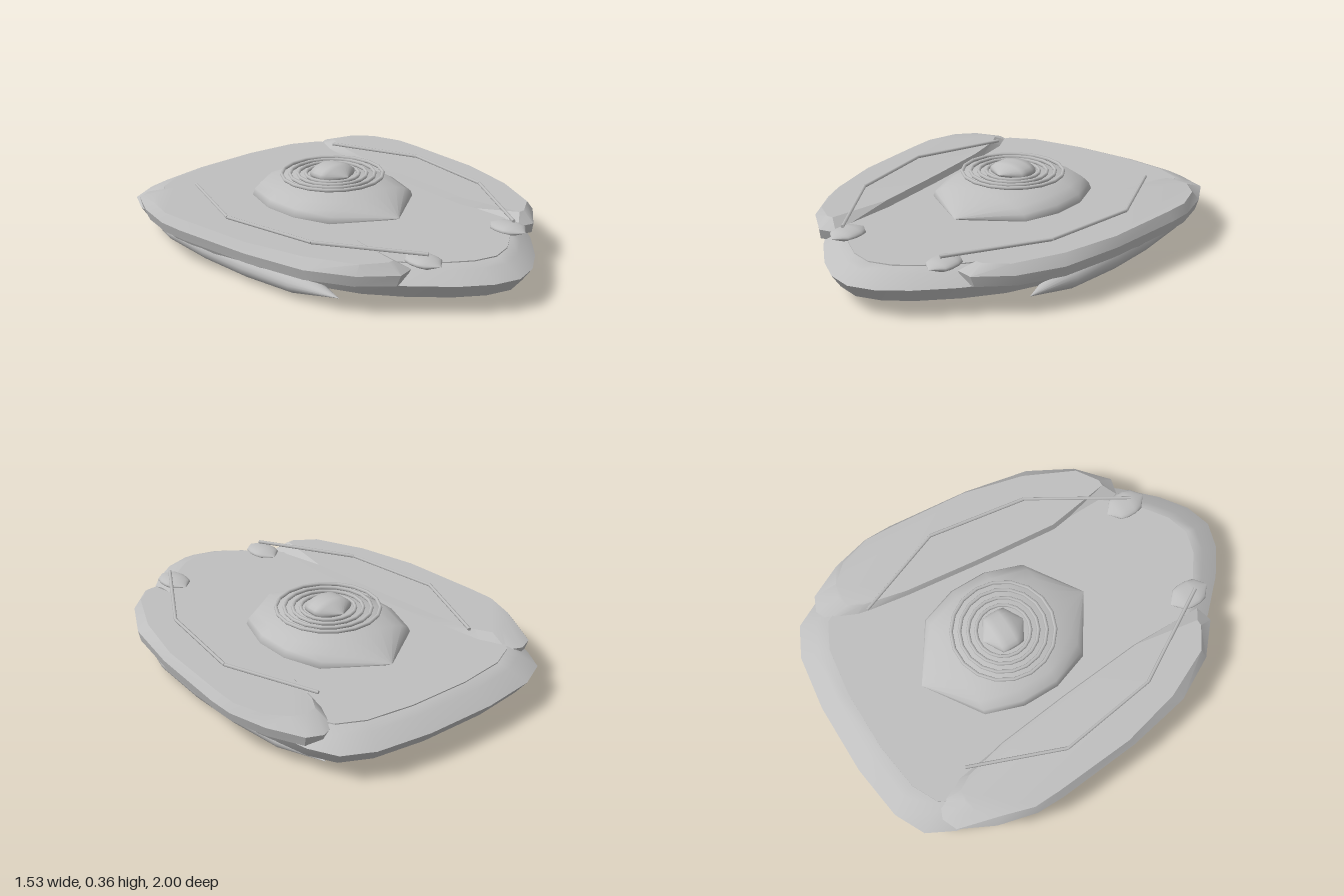
import * as THREE from 'three';
import { toCreasedNormals } from 'three/addons/utils/BufferGeometryUtils.js';

const shell = new THREE.MeshStandardMaterial({ color: 0xbfbfbf });
shell.name = 'grey shell';

function part(name, geometry, parent) {
  const mesh = new THREE.Mesh(geometry, shell);
  mesh.name = name;
  parent.add(mesh);
  return mesh;
}

// Closed solid through rings of [x, y, z], listed bottom to top, counter-clockwise from above
function loft(rings, crease = 0.5) {
  const n = rings[0].length, pos = [];
  const tri = (a, b, c) => pos.push(...a, ...b, ...c);
  for (let r = 0; r < rings.length - 1; r++) {
    const lo = rings[r], hi = rings[r + 1];
    for (let i = 0; i < n; i++) {
      const j = (i + 1) % n;
      tri(lo[i], lo[j], hi[j]);
      tri(lo[i], hi[j], hi[i]);
    }
  }
  const cap = (ring, up) => {
    const flat = ring.map(p => new THREE.Vector2(p[0], -p[2]));
    for (const [a, b, c] of THREE.ShapeUtils.triangulateShape(flat, [])) {
      if (up) tri(ring[a], ring[b], ring[c]);
      else tri(ring[a], ring[c], ring[b]);
    }
  };
  cap(rings[0], false);
  cap(rings[rings.length - 1], true);
  const g = new THREE.BufferGeometry();
  g.setAttribute('position', new THREE.Float32BufferAttribute(pos, 3));
  return toCreasedNormals(g, crease);
}

// Faceted ellipsoid with its poles along z
function pebble(rx, ry, rz, shoulder) {
  const [r, h] = shoulder;
  const profile = [[0, -1], [r, -h], [0.98, -0.2], [0.98, 0.2], [r, h], [0, 1]];
  const g = new THREE.LatheGeometry(profile.map(p => new THREE.Vector2(...p)), 20);
  return g.rotateX(Math.PI / 2).scale(rx, ry, rz);
}

// Straight rod between two points
function rod(a, b, radius) {
  const d = b.clone().sub(a);
  const g = new THREE.CylinderGeometry(radius, radius, d.length(), 6);
  g.applyQuaternion(new THREE.Quaternion().setFromUnitVectors(new THREE.Vector3(0, 1, 0), d.clone().normalize()));
  const m = a.clone().add(b).multiplyScalar(0.5);
  return g.translate(m.x, m.y, m.z);
}

export function createModel() {
  const group = new THREE.Group();
  group.name = 'hoverCraft';

  // Hull: one half of the rim outline, front to back, mirrored
  const half = [[0.12, 0.965], [0.24, 0.88], [0.38, 0.74], [0.5, 0.58], [0.6, 0.36], [0.66, 0.1],
    [0.69, -0.2], [0.69, -0.5], [0.635, -0.77], [0.57, -0.895], [0.43, -0.965], [0.17, -1]];
  const rim = [[0, 1], ...half, ...half.slice().reverse().map(([x, z]) => [-x, z])];
  const level = (s, y) => rim.map(([x, z]) => [x * s, y, z * s]);
  part('hull', loft([level(0.95, 0.07), level(1, 0.135), level(0.92, 0.18), level(0.88, 0.195)]), group);
  part('deck', loft([level(0.868, 0.19), level(0.868, 0.2)]), group);

  // Central dome, rings and cap
  const cz = -0.137;
  part('dome', pebble(0.33, 0.1, 0.433, [0.8, 0.6]), group).position.set(0, 0.205, cz);
  for (const r of [0.235, 0.197, 0.159, 0.123]) {
    const ring = new THREE.TorusGeometry(r, 0.0085, 6, 18).rotateX(Math.PI / 2);
    part('domeRing', ring, group).position.set(0, 0.309, cz);
  }
  part('domeCap', pebble(0.1, 0.042, 0.105, [0.93, 0.5]), group).position.set(0, 0.315, cz);

  // Side pods: rim x, z and top edge x, z
  const podOutline = [[0.34, 0.7, 0.4, 0.655], [0.42, 0.72, 0.43, 0.655], [0.56, 0.6, 0.53, 0.59],
    [0.67, 0.4, 0.64, 0.36], [0.73, 0.1, 0.71, 0.08], [0.765, -0.3, 0.74, -0.3],
    [0.765, -0.43, 0.745, -0.43], [0.72, -0.61, 0.7, -0.58], [0.64, -0.77, 0.625, -0.66],
    [0.57, -0.8, 0.56, -0.68], [0.5, -0.77, 0.51, -0.67], [0.45, -0.66, 0.47, -0.6],
    [0.41, -0.4, 0.425, -0.4], [0.37, -0.05, 0.385, -0.05], [0.335, 0.35, 0.35, 0.35]];
  const wire = [[0.27, 0.73], [0.53, 0.3], [0.6, -0.17], [0.435, -0.6]];

  for (const s of [1, -1]) {
    const side = new THREE.Group();
    side.name = s > 0 ? 'leftSide' : 'rightSide';
    group.add(side);

    const outline = s > 0 ? podOutline : podOutline.slice().reverse();
    const base = outline.map(([x, z]) => [s * (0.55 + (x - 0.55) * 0.93), 0.14, -0.05 + (z + 0.05) * 0.98]);
    const mid = outline.map(([x, z]) => [s * x, 0.188, z]);
    const top = outline.map(([, , x, z]) => [s * x, 0.23, z]);
    part('sidePod', loft([base, mid, top]), side);

    // Thin bent rail over the pod, ending at a bead near the nose
    const pts = wire.map(([x, z]) => new THREE.Vector3(s * x, 0.242, z));
    for (let i = 0; i < pts.length - 1; i++) part('podRail', rod(pts[i], pts[i + 1], 0.008), side);
    part('noseBead', pebble(0.065, 0.022, 0.1, [0.85, 0.55]), side).position.set(s * 0.268, 0.205, 0.7);

    // Long skid under the hull
    part('skid', pebble(0.097, 0.066, 0.66, [0.75, 0.63]), side).position.set(s * 0.568, 0.065, -0.15);
  }
  return group;
}
